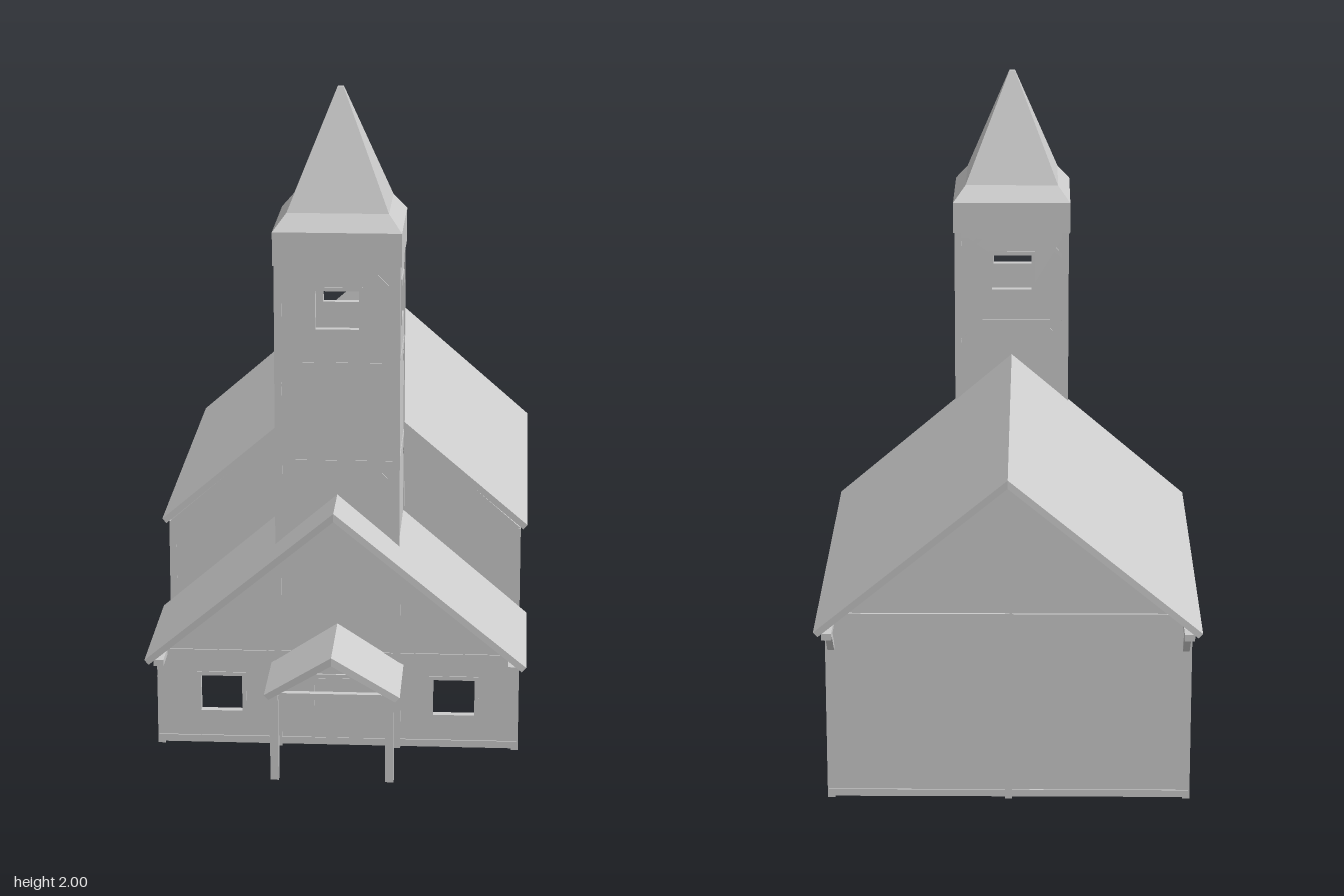
import * as THREE from 'three';

const mat = new THREE.MeshStandardMaterial({ color: 0xcccccc, flatShading: true });
const T = 0.018; // wall thickness
const V = (x, y, z) => new THREE.Vector3(x, y, z);

function add(parent, name, geo) {
  const m = new THREE.Mesh(geo, mat);
  m.name = name;
  parent.add(m);
  return m;
}

function part(parent, name) {
  const g = new THREE.Group();
  g.name = name;
  parent.add(g);
  return g;
}

// Square timber running from a to b, oriented within its parent's frame
function beam(parent, name, a, b, w = 0.022, h = w) {
  const m = add(parent, name, new THREE.BoxGeometry(w, h, a.distanceTo(b)));
  const upright = Math.abs(b.y - a.y) > 0.999 * a.distanceTo(b);
  m.position.copy(a).lerp(b, 0.5);
  m.quaternion.setFromRotationMatrix(new THREE.Matrix4().lookAt(b, a, upright ? V(0, 0, 1) : V(0, 1, 0)));
  return m;
}

// Upright panel in the xy plane, outer face at z = d; holes are [x0, x1, y0, y1]
function wall(parent, name, pts, d, holes = []) {
  const shape = new THREE.Shape(pts.map(p => new THREE.Vector2(...p)));
  for (const [x0, x1, y0, y1] of holes) {
    shape.holes.push(new THREE.Path([[x0, y0], [x0, y1], [x1, y1], [x1, y0]].map(p => new THREE.Vector2(...p))));
    const f = part(parent, 'windowFrame'), r = 0.012, z = d - T / 2;
    for (const y of [y0 - r / 2, y1 + r / 2])
      beam(f, 'windowRail', V(x0 - r, y, z), V(x1 + r, y, z), T + 0.006, r);
    for (const x of [x0 - r / 2, x1 + r / 2])
      beam(f, 'windowJamb', V(x, y0, z), V(x, y1, z), r, T + 0.006);
  }
  const geo = new THREE.ExtrudeGeometry(shape, { depth: T, bevelEnabled: false });
  return add(parent, name, geo.translate(0, 0, d - T));
}

const rect = (x0, x1, y0, y1) => [[x0, y0], [x1, y0], [x1, y1], [x0, y1]];

// Pitched roof slab whose outer end leans out towards the ridge
function roof(parent, name, w, eave, ridge, zIn, zEave, zRidge) {
  const shape = new THREE.Shape([[-w, eave], [-w + 0.013, eave - 0.014], [0, ridge - 0.025],
    [w - 0.013, eave - 0.014], [w, eave], [0, ridge]].map(p => new THREE.Vector2(...p)));
  const geo = new THREE.ExtrudeGeometry(shape, { depth: 1, bevelEnabled: false });
  const p = geo.attributes.position;
  const lo = zIn < zEave;
  for (let i = 0; i < p.count; i++) {
    const out = zRidge + (zEave - zRidge) * Math.abs(p.getX(i)) / w;
    p.setZ(i, (p.getZ(i) > 0.5) === lo ? out : zIn);
  }
  geo.computeVertexNormals();
  return add(parent, name, geo);
}

// Two diagonal braces below a beam, on the plane z = d between posts at x0 and x1
function braces(parent, x0, x1, y, d, s = 0.075) {
  beam(parent, 'brace', V(x0, y - s, d), V(x0 + s, y, d), 0.014);
  beam(parent, 'brace', V(x1, y - s, d), V(x1 - s, y, d), 0.014);
}

// Group turned so that its local +z points along the given side of the building
function face(parent, name, angle, z = 0) {
  const g = part(parent, name);
  g.rotation.y = angle;
  g.position.z = z;
  return g;
}

export function createModel() {
  const model = new THREE.Group();
  model.name = 'church';
  const W = 0.545, zF = 0.69, zM = 0.33, zB = -0.77;
  const IN = 0.007; // depth of timber centre behind the wall face

  // Nave and vestibule long walls
  for (const s of [-1, 1]) {
    const side = face(model, s > 0 ? 'leftSide' : 'rightSide', s * Math.PI / 2);
    const lx = z => -s * z;
    const span = (a, b) => [Math.min(lx(a), lx(b)), Math.max(lx(a), lx(b))];
    wall(side, 'naveSideWall', rect(...span(zB, zM), 0.008, 0.595), W);
    wall(side, 'vestibuleSideWall', rect(...span(zM, zF), 0.008, 0.3), W, [[...span(0.44, 0.566), 0.11, 0.222]]);
    beam(side, 'sill', V(lx(zB), 0.018, W - IN), V(lx(zF), 0.018, W - IN));
    const posts = [zM - 0.01, -0.03, -0.395, zB + 0.011];
    posts.forEach((z, i) => {
      beam(side, 'post', V(lx(z), 0, W - IN), V(lx(z), 0.59, W - IN));
      if (i) braces(side, ...span(posts[i - 1], z), 0.575, W - IN);
    });
    beam(side, 'cornerPost', V(lx(zF - 0.011), 0, W - IN), V(lx(zF - 0.011), 0.3, W - IN));
    braces(side, ...span(zM, zF - 0.011), 0.285, W - IN);
    // Wall plates run out under the overhanging eaves
    beam(side, 'navePlate', V(lx(zM), 0.585, W - 0.012), V(lx(-0.93), 0.585, W - 0.012), 0.03, 0.02);
    beam(side, 'vestibulePlate', V(lx(zM), 0.299, W - 0.014), V(lx(0.8), 0.299, W - 0.014), 0.03, 0.02);
    beam(side, 'eaveBracket', V(lx(zB), 0.49, W - 0.014), V(lx(-0.87), 0.58, W - 0.014), 0.02);
  }

  // Back gable
  const back = face(model, 'backGable', Math.PI);
  wall(back, 'backWall', [[-W, 0.008], [W, 0.008], [W, 0.595], [0, 1.07], [-W, 0.595]], -zB);
  beam(back, 'sill', V(-W, 0.018, -zB - IN), V(W, 0.018, -zB - IN));
  beam(back, 'tieBeam', V(-W, 0.588, -zB - 0.004), V(W, 0.588, -zB - 0.004), 0.024);
  beam(back, 'kingPost', V(0, 0, -zB - IN), V(0, 1.05, -zB - IN));
  braces(back, -W, 0, 0.58, -zB - IN);
  braces(back, 0, W, 0.58, -zB - IN);

  // Nave front gable above the vestibule roof
  wall(model, 'naveFrontGable', [[-W, 0.3], [0, 0.775], [W, 0.3], [W, 0.595], [0, 1.07], [-W, 0.595]], zM);

  // Front gable with windows and door
  const front = part(model, 'frontGable');
  wall(front, 'frontWall', [[-W, 0.008], [W, 0.008], [W, 0.3], [0, 0.775], [-W, 0.3]], zF,
    [[-0.415, -0.29, 0.11, 0.222], [0.29, 0.415, 0.11, 0.222]]);
  beam(front, 'sill', V(-W, 0.018, zF - IN), V(W, 0.018, zF - IN));
  beam(front, 'frontRail', V(-W, 0.295, zF - IN), V(W, 0.295, zF - IN));
  for (const x of [-0.18, 0.18]) beam(front, 'post', V(x, 0, zF - IN), V(x, 0.62, zF - IN));
  braces(front, -W, -0.18, 0.285, zF - IN);
  braces(front, 0.18, W, 0.285, zF - IN);
  const door = add(front, 'door', new THREE.BoxGeometry(0.14, 0.2, 0.012));
  door.position.set(0, 0.12, zF - 0.004);
  for (const x of [-0.074, 0.074]) beam(front, 'doorJamb', V(x, 0.02, zF), V(x, 0.225, zF), 0.01);
  beam(front, 'doorLintel', V(-0.08, 0.228, zF), V(0.08, 0.228, zF), 0.012);

  // Roofs
  roof(model, 'naveRoof', 0.57, 0.605, 1.09, 0.34, -0.945, -0.99);
  roof(model, 'vestibuleRoof', 0.57, 0.317, 0.803, 0.335, 0.825, 0.88);

  // Porch
  const porch = part(model, 'porch');
  roof(porch, 'porchRoof', 0.2, 0.268, 0.397, zF - 0.01, 0.965, 0.99);
  for (const x of [-0.17, 0.17]) {
    beam(porch, 'porchPost', V(x, 0, 0.948), V(x, 0.265, 0.948), 0.025);
    beam(porch, 'porchPlate', V(x, 0.262, zF), V(x, 0.262, 0.962), 0.022);
  }
  beam(porch, 'porchTie', V(-0.17, 0.263, 0.948), V(0.17, 0.263, 0.948), 0.02);

  // Tower: four equal sides
  const R = 0.186, zT = 0.504;
  const tower = part(model, 'tower');
  for (let i = 0; i < 4; i++) {
    const g = face(tower, 'towerSide', i * Math.PI / 2, zT);
    wall(g, 'towerWall', rect(-R + 0.003, R - 0.003, 0.6, 1.51), R - 0.003, [[-0.064, 0.064, 1.31, 1.425]]);
    beam(g, 'towerPost', V(R - 0.011, 0.6, R - 0.011), V(R - 0.011, 1.5, R - 0.011));
    for (const y of [0.9, 1.2, 1.49]) {
      beam(g, 'towerRail', V(-R + 0.02, y, R - 0.01), V(R - 0.02, y, R - 0.01), 0.018);
      braces(g, -R + 0.015, R - 0.015, y - 0.006, R - 0.009, 0.07);
    }
  }

  // Spire with fascia band and flared foot
  const profile = [[0, 1.5], [0.19, 1.5], [0.19, 1.6], [0.15, 1.65], [0.009, 2], [0, 2]];
  const spire = new THREE.LatheGeometry(profile.map(([r, y]) => new THREE.Vector2(r * Math.SQRT2, y)), 4);
  add(tower, 'spire', spire.rotateY(Math.PI / 4).translate(0, 0, zT));

  return model;
}
